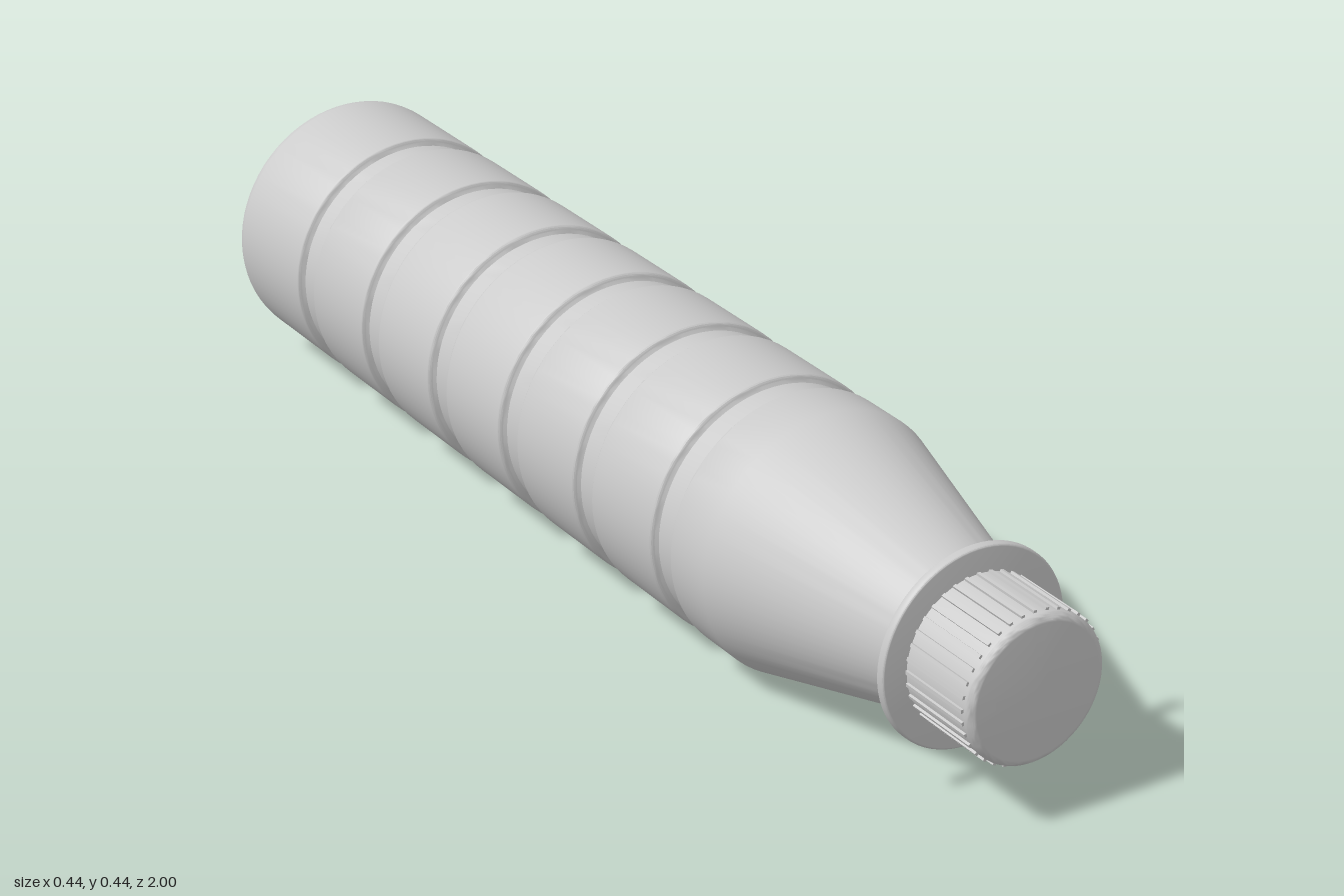
import * as THREE from 'three';
import { toCreasedNormals } from 'three/addons/utils/BufferGeometryUtils.js';

const R = 0.22;          // body radius, also the height of the axis
const SEGMENTS = 72;

export function createModel() {
  const material = new THREE.MeshStandardMaterial({ color: 0xcccccc });
  const bottle = new THREE.Group();
  bottle.name = 'bottle';

  // Quarter-round corner points about (r, z), from angle a to b in degrees
  const arc = (r, z, radius, a, b, steps = 6) =>
    Array.from({ length: steps + 1 }, (_, i) => {
      const t = THREE.MathUtils.degToRad(a + ((b - a) * i) / steps);
      return [r + radius * Math.cos(t), z + radius * Math.sin(t)];
    });

  // Turned part lying along z; profile is [radius, z] from back to front
  const turned = (name, profile) => {
    const points = profile.map(([r, z]) => new THREE.Vector2(Math.max(r, 0), z));
    const geometry = toCreasedNormals(new THREE.LatheGeometry(points, SEGMENTS), 0.6);
    geometry.rotateX(Math.PI / 2);
    const mesh = new THREE.Mesh(geometry, material);
    mesh.name = name;
    mesh.position.y = R;
    bottle.add(mesh);
    return mesh;
  };

  // Body: rounded base, six grip grooves, straight shoulder and tapered neck
  const body = [[0, -1], ...arc(R - 0.025, -0.975, 0.025, -90, 0)];
  for (let i = 0; i < 6; i++) {
    const z = -0.752 + i * 0.221;
    body.push(
      [R, z - 0.032],
      ...arc(R - 0.007, z - 0.032, 0.007, 0, 90, 4).slice(1),
      [R - 0.012, z - 0.021],
      [R - 0.012, z + 0.021],
      ...arc(R - 0.007, z + 0.032, 0.007, -90, 0, 4)
    );
  }
  body.push([R, 0.47], [0.12, 0.84], [0, 0.84]);
  turned('body', body);

  // Thin collar between neck and cap
  turned('collar', [
    [0, 0.834], ...arc(0.161, 0.838, 0.004, -90, 0, 4),
    ...arc(0.161, 0.846, 0.004, 0, 90, 4), [0, 0.85],
  ]);

  // Screw cap with a rounded front rim
  turned('cap', [[0, 0.845], [0.122, 0.845], ...arc(0.11, 0.988, 0.012, 0, 90), [0, 1]]);

  // Grip ribs around the cap
  const ribs = new THREE.Group();
  ribs.name = 'capRibs';
  ribs.position.y = R;
  const ribGeometry = new THREE.BoxGeometry(0.006, 0.008, 0.133);
  const count = 36;
  for (let i = 0; i < count; i++) {
    const angle = (i / count) * Math.PI * 2;
    const rib = new THREE.Mesh(ribGeometry, material);
    rib.name = 'capRib';
    rib.position.set(Math.sin(angle) * 0.122, Math.cos(angle) * 0.122, 0.9185);
    rib.rotation.z = -angle;
    ribs.add(rib);
  }
  bottle.add(ribs);

  return bottle;
}
